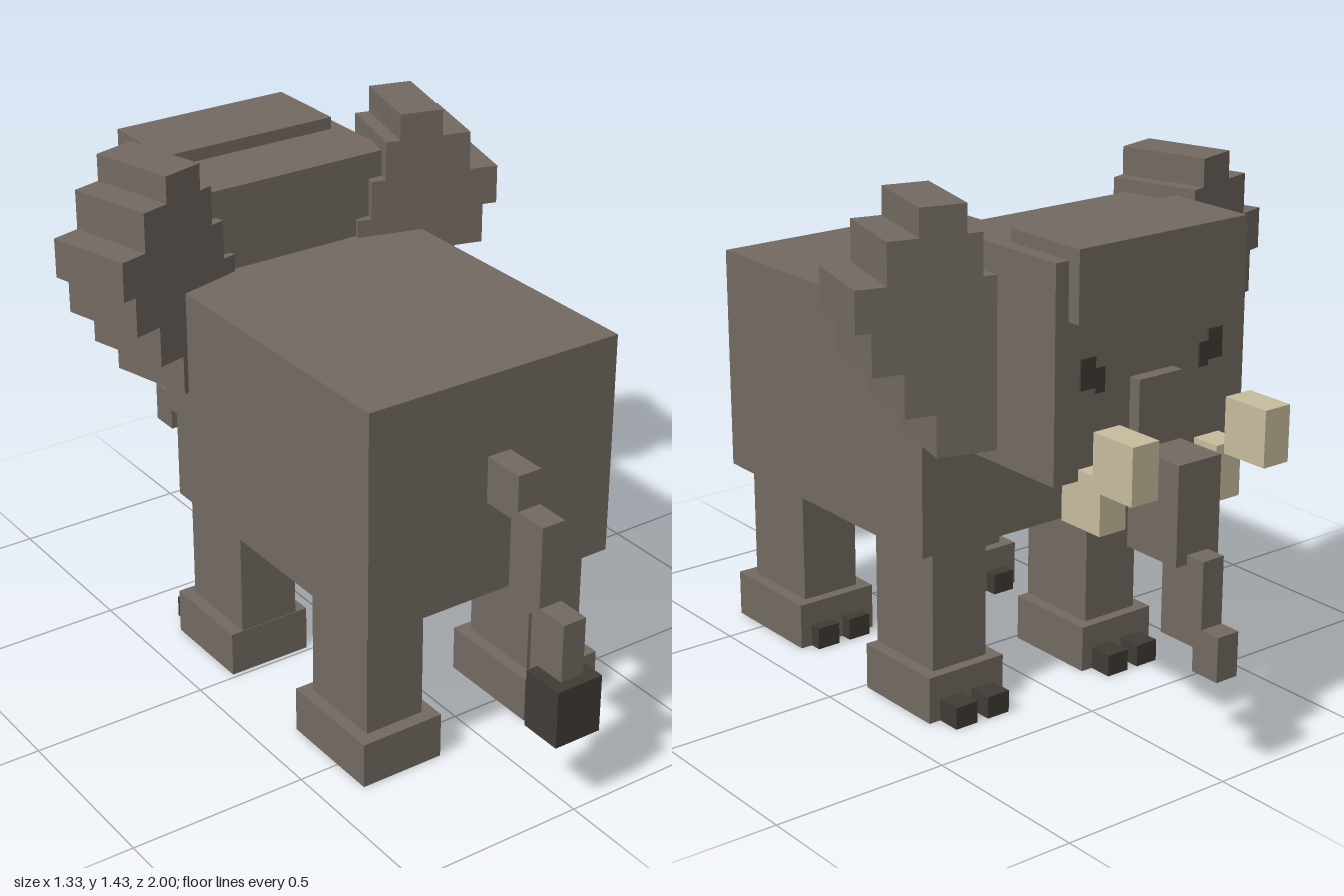
import * as THREE from 'three';

export function createModel() {
  const model = new THREE.Group();
  model.name = 'elephant';

  const material = (name, color) => {
    const m = new THREE.MeshStandardMaterial({ color });
    m.name = name;
    return m;
  };
  const hide = material('grey brown hide', 0x736a62);
  const dark = material('dark brown', 0x403b35);
  const ivory = material('ivory', 0xc8bc9e);

  // Box from its minimum and maximum along each axis
  const block = (name, mat, [x0, x1], [y0, y1], [z0, z1], parent = model) => {
    const mesh = new THREE.Mesh(new THREE.BoxGeometry(x1 - x0, y1 - y0, z1 - z0), mat);
    mesh.position.set((x0 + x1) / 2, (y0 + y1) / 2, (z0 + z1) / 2);
    mesh.name = name;
    parent.add(mesh);
    return mesh;
  };
  const mirrored = ([a, b], side) => (side > 0 ? [a, b] : [-b, -a]);

  // Body and head
  block('body', hide, [-0.385, 0.385], [0.46, 1.09], [-0.27, 0.635]);
  block('head', hide, [-0.31, 0.31], [0.765, 1.325], [-0.7, -0.265]);
  block('brow', hide, [-0.27, 0.27], [1.175, 1.36], [-0.738, -0.482]);

  // Trunk, stepping forward and down
  block('trunkBase', hide, [-0.07, 0.07], [0.8, 1.0], [-0.735, -0.69]);
  block('trunkUpper', hide, [-0.07, 0.07], [0.555, 0.82], [-0.882, -0.702]);
  block('trunkLower', hide, [-0.034, 0.034], [0.345, 0.58], [-0.94, -0.795]);
  block('trunkTip', hide, [-0.034, 0.034], [0.28, 0.4], [-1, -0.912]);

  // Tail, stepping away and down to a tuft
  block('tailRoot', hide, [-0.035, 0.035], [0.745, 0.875], [0.652, 0.775]);
  block('tailMiddle', hide, [-0.035, 0.035], [0.515, 0.775], [0.75, 0.873]);
  block('tailEnd', hide, [-0.035, 0.035], [0.315, 0.545], [0.845, 0.968]);
  block('tailTuft', dark, [-0.07, 0.07], [0.215, 0.38], [0.875, 1]);

  // Ear rows: bottom, top, inner x and outer x of the rear face
  const earRows = [
    [0.8, 0.912, 0.2, 0.4],
    [0.912, 1.027, 0.2, 0.48],
    [1.027, 1.14, 0.2, 0.56],
    [1.14, 1.25, 0.24, 0.6],
    [1.25, 1.36, 0.28, 0.52],
    [1.36, 1.435, 0.32, 0.44],
  ];
  const earAngle = Math.PI / 12;

  for (const side of [1, -1]) {
    const prefix = side > 0 ? 'left' : 'right';

    // Ear, swept back
    const ear = new THREE.Group();
    ear.name = prefix + 'Ear';
    ear.position.set(side * 0.2, 0, -0.251);
    ear.rotation.y = -side * earAngle;
    for (const [y0, y1, inner, outer] of earRows) {
      const span = [inner, outer].map((x) => (x - 0.2) / Math.cos(earAngle));
      block('earRow', hide, mirrored(span, side), [y0, y1], [-0.25, 0], ear);
    }
    model.add(ear);

    // Tusk
    block(prefix + 'TuskRoot', ivory, mirrored([0.15, 0.233], side), [0.645, 0.795], [-0.783, -0.64]);
    block(prefix + 'TuskTip', ivory, mirrored([0.175, 0.258], side), [0.77, 0.92], [-0.924, -0.783]);

    // Eye
    block(prefix + 'Eye', dark, mirrored([0.185, 0.232], side), [0.995, 1.075], [-0.705, -0.699]);
    block(prefix + 'EyeCorner', dark, mirrored([0.155, 0.185], side), [0.98, 1.045], [-0.705, -0.699]);

    // Legs, feet and pairs of toes
    const legs = [
      { end: 'Front', leg: [-0.265, -0.015], foot: [-0.295, -0.013], toe: [-0.365, -0.295] },
      { end: 'Rear', leg: [0.335, 0.582], foot: [0.305, 0.62], toe: [0.27, 0.34] },
    ];
    for (const { end, leg, foot, toe } of legs) {
      block(prefix + end + 'Leg', hide, mirrored([0.175, 0.35], side), [0.13, 0.46], leg);
      block(prefix + end + 'Foot', hide, mirrored([0.14, 0.385], side), [0, 0.13], foot);
      for (const x of [0.21, 0.315]) {
        block(prefix + end + 'Toe', dark, mirrored([x - 0.035, x + 0.035], side), [0, 0.062], toe);
      }
    }
  }

  return model;
}
